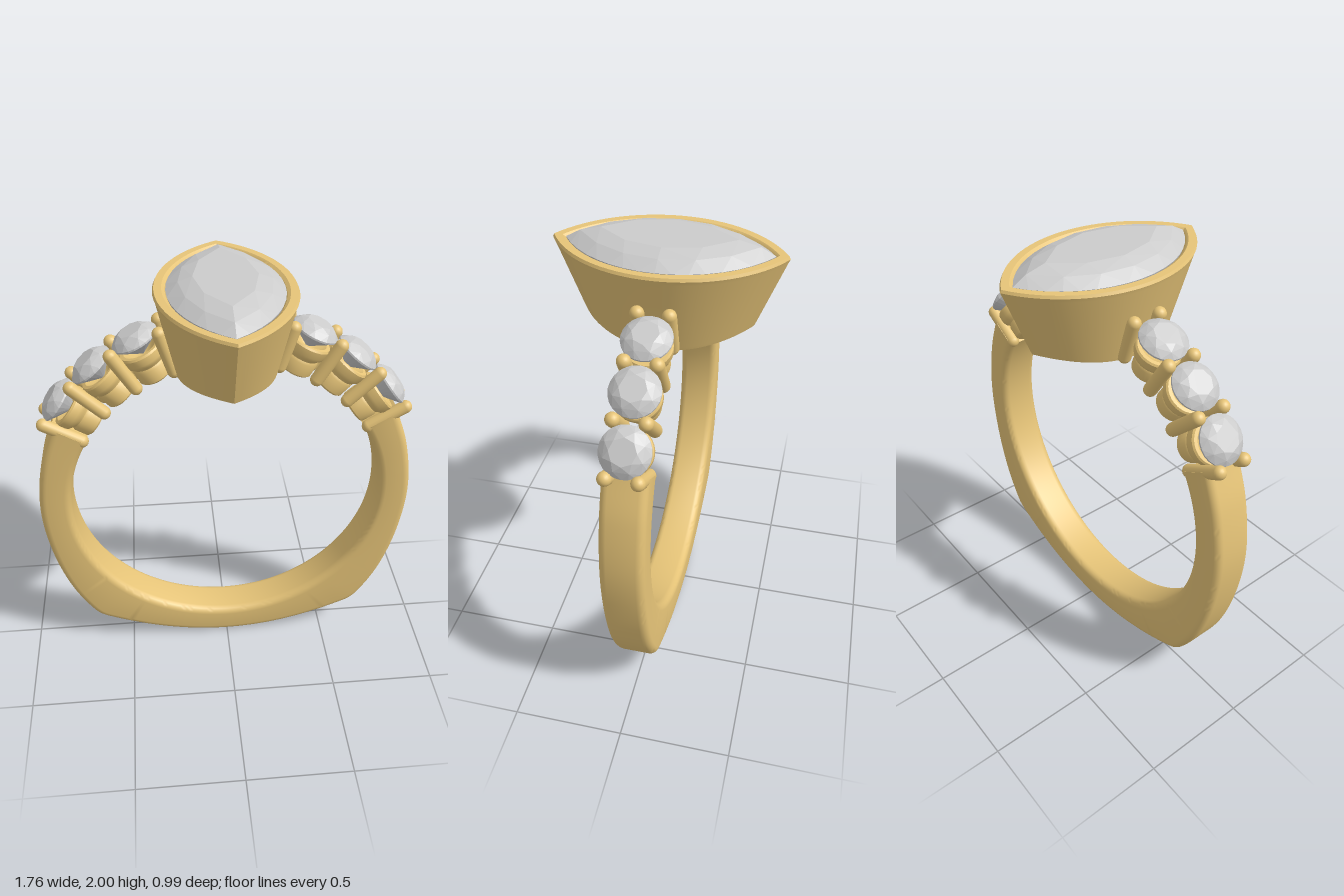
import * as THREE from 'three';
import { toCreasedNormals } from 'three/addons/utils/BufferGeometryUtils.js';
import { ConvexGeometry } from 'three/addons/geometries/ConvexGeometry.js';

const CY = 0.89;      // height of the finger hole centre
const R = 0.73;       // finger hole radius
const rad = THREE.MathUtils.degToRad;
const V = (x, y, z) => new THREE.Vector3(x, y, z);

const gold = new THREE.MeshStandardMaterial({ color: 0xe6c478 });
const stone = new THREE.MeshStandardMaterial({ color: 0xcccccc, flatShading: true });

function mesh(name, geometry, material) {
  const m = new THREE.Mesh(geometry, material);
  m.name = name;
  return m;
}

// Skin a list of closed rings that all have the same number of points.
function loft(rings, crease) {
  const n = rings[0].length, index = [];
  for (let i = 0; i < rings.length - 1; i++) {
    for (let j = 0; j < n; j++) {
      const k = (j + 1) % n, a = i * n, b = a + n;
      index.push(a + j, b + j, a + k, b + j, b + k, a + k);
    }
  }
  const g = new THREE.BufferGeometry().setFromPoints(rings.flat());
  g.setIndex(index);
  return toCreasedNormals(g, crease);
}

// Pointed oval made of two arcs; y may be a number or a function of x.
function marquise(a, b, y, n = 64) {
  const r = (a * a + b * b) / (2 * a), phi = Math.asin(b / r), pts = [];
  for (let i = 0; i < n; i++) {
    const s = i < n / 2 ? 1 : -1;
    const t = phi * (4 * (i % (n / 2)) / n - 1);
    const x = s * (a - r + r * Math.cos(t)), z = s * r * Math.sin(t);
    pts.push(V(x, typeof y === 'function' ? y(x) : y, z));
  }
  return pts;
}

function oval(a, b, y, n = 64) {
  return Array.from({ length: n }, (_, i) => {
    const t = (i / n) * Math.PI * 2 - Math.PI / 2, x = a * Math.cos(t);
    return V(x, typeof y === 'function' ? y(x) : y, b * Math.sin(t));
  });
}

// Rounded band: round inside, squared-off shoulders at the bottom outside.
function bandGeometry() {
  const half = [[0.77, 1.355], [0.84, 1.16], [0.88, 0.9], [0.857, 0.63], [0.79, 0.39],
    [0.71, 0.235], [0.665, 0.178], [0.6, 0.143], [0.4, 0.066], [0.2, 0.019]];
  const path = [...half, [0, 0.003], ...half.slice().reverse().map(([x, y]) => [-x, y])];
  const curve = new THREE.CatmullRomCurve3(path.map(([x, y]) => V(x, y, 0)), false, 'centripetal');
  const w = 0.096, c = 0.035;
  const rings = curve.getSpacedPoints(180).map((p) => {
    const dir = V(p.x, p.y - CY, 0), ro = dir.length(), ring = [];
    dir.normalize();
    // corners run outer front, outer back, inner back, inner front
    [[ro - c, w - c, 90], [ro - c, c - w, 0], [R + c, c - w, -90], [R + c, w - c, -180]]
      .forEach(([r, z, start]) => {
        for (let k = 0; k <= 5; k++) {
          const t = rad(start - k * 18);
          const q = r + c * Math.cos(t);
          ring.push(V(dir.x * q, CY + dir.y * q, z + c * Math.sin(t)));
        }
      });
    return ring;
  });
  const cap = (ring) => {
    const m = ring.reduce((s, p) => s.add(p), V(0, 0, 0)).divideScalar(ring.length);
    return ring.map(() => m.clone());
  };
  return loft([cap(rings[0]), ...rings, cap(rings[rings.length - 1])], rad(40));
}

// Flared setting, its foot trimmed to the finger hole, with a recess below.
function bezelGeometry() {
  const foot = (x) => CY + Math.sqrt(R * R - x * x);
  return loft([
    oval(0.001, 0.002, 1.76), oval(0.07, 0.14, 1.74), oval(0.115, 0.21, 1.69),
    oval(0.135, 0.245, foot),
    marquise(0.222, 0.368, foot), marquise(0.226, 0.375, (x) => foot(x) + 0.015),
    marquise(0.294, 0.487, 1.92), marquise(0.3, 0.495, 1.938), marquise(0.294, 0.489, 1.95),
    marquise(0.262, 0.452, 1.95), marquise(0.248, 0.438, 1.94), marquise(0.235, 0.42, 1.9),
    marquise(0.16, 0.3, 1.82), marquise(0.001, 0.002, 1.78),
  ], rad(35));
}

// Large pointed-oval stone
function centreStoneGeometry() {
  return new ConvexGeometry([
    ...marquise(0.135, 0.285, 2.0, 8), ...marquise(0.195, 0.375, 1.978, 12),
    ...marquise(0.246, 0.438, 1.943, 32), ...marquise(0.24, 0.43, 1.925, 32), V(0, 1.8, 0),
  ]);
}

// Small round stone, girdle at y = 0
function roundStoneGeometry() {
  const ring = (r, y, n, turn) => Array.from({ length: n }, (_, i) => {
    const t = ((i + turn) / n) * Math.PI * 2;
    return V(r * Math.cos(t), y, r * Math.sin(t));
  });
  return new ConvexGeometry([
    ...ring(0.056, 0.04, 8, 0), ...ring(0.084, 0.025, 8, 0.5),
    ...ring(0.105, 0.002, 24, 0), ...ring(0.105, -0.006, 24, 0), V(0, -0.085, 0),
  ]);
}

// Cup under each small stone: foot with a pinhole, then a wider collar
function seatGeometry() {
  const profile = [[0.0, 0.765], [0.013, 0.765], [0.013, 0.728], [0.068, 0.728], [0.076, 0.736],
    [0.08, 0.795], [0.074, 0.806], [0.08, 0.815], [0.092, 0.825], [0.098, 0.84], [0.1, 0.872],
    [0.094, 0.88], [0.078, 0.88], [0.04, 0.845], [0, 0.83]];
  const g = new THREE.LatheGeometry(profile.map(([x, y]) => new THREE.Vector2(x, y)), 32);
  return toCreasedNormals(g, rad(40));
}

export function createModel() {
  const ring = new THREE.Group();
  ring.name = 'ring';
  ring.add(
    mesh('band', bandGeometry(), gold),
    mesh('bezel', bezelGeometry(), gold),
    mesh('centreStone', centreStoneGeometry(), stone),
  );

  const gem = roundStoneGeometry(), seat = seatGeometry();
  const prong = new THREE.CapsuleGeometry(0.03, 0.185, 6, 16);

  // Both shoulders: radial spokes, each group's +y pointing outward
  for (const side of [1, -1]) {
    const shoulder = new THREE.Group();
    shoulder.name = side > 0 ? 'leftShoulder' : 'rightShoulder';
    const spoke = (name, degrees) => {
      const g = new THREE.Group();
      g.name = name;
      g.position.y = CY;
      g.rotation.z = -side * rad(90 - degrees);
      shoulder.add(g);
      return g;
    };
    for (const a of [37.25, 51.5, 65.5]) {
      const g = spoke('smallSetting', a);
      const s = mesh('smallStone', gem, stone);
      s.position.y = 0.93;
      g.add(mesh('seat', seat, gold), s);
    }
    for (const a of [30.5, 44.3, 58.5, 72.5]) {
      const g = spoke('prongPair', a);
      for (const z of [-0.066, 0.066]) {
        const p = mesh('prong', prong, gold);
        p.position.set(0, 0.843, z);
        g.add(p);
      }
    }
    ring.add(shoulder);
  }
  return ring;
}
